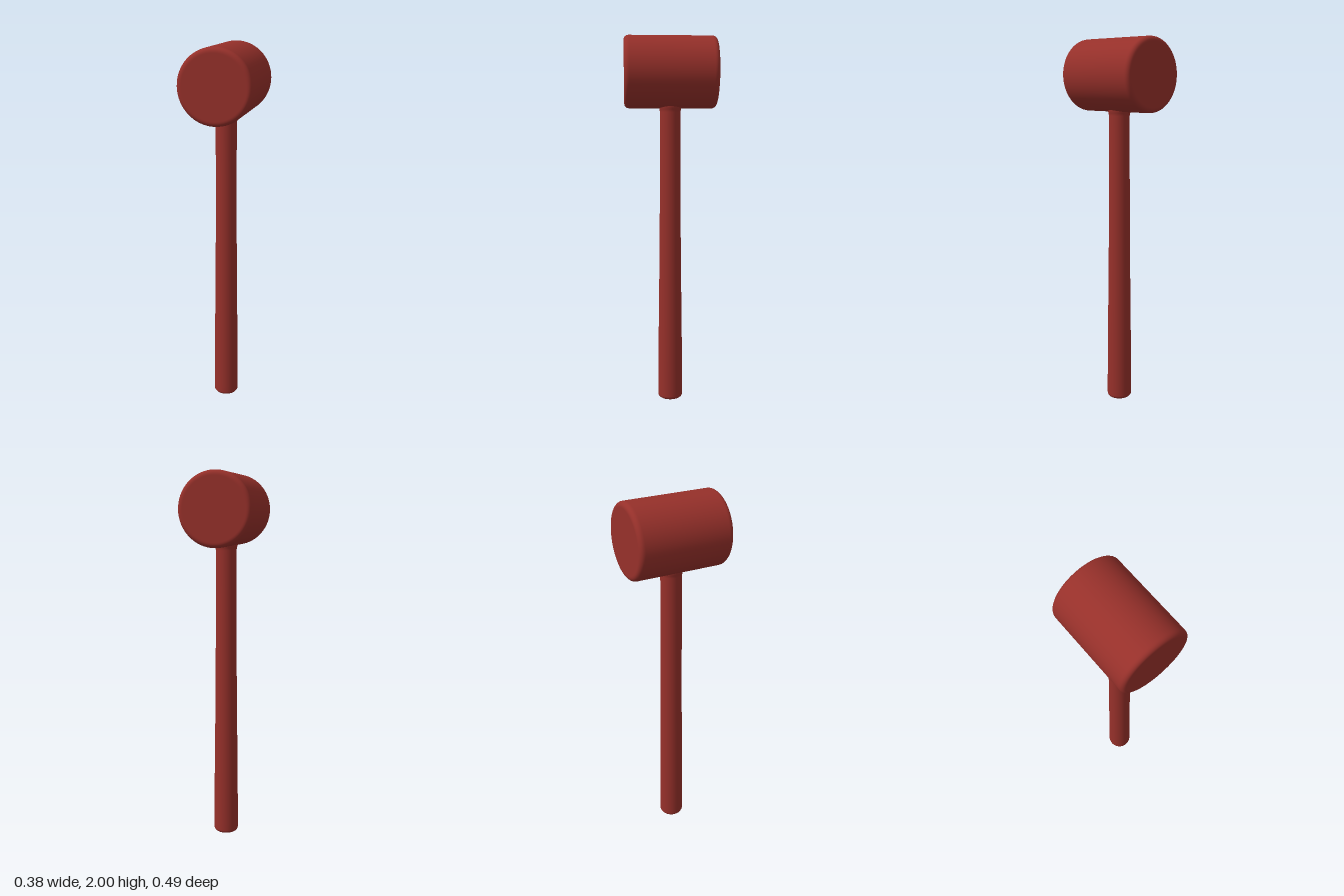
import * as THREE from 'three';

const BEVEL_STEPS = 6;

// Quarter-circle bevel points from angle a0 to a1 around (cx, cy)
function arc(cx, cy, r, a0, a1) {
  return Array.from({ length: BEVEL_STEPS + 1 }, (_, i) => {
    const a = a0 + ((a1 - a0) * i) / BEVEL_STEPS;
    return new THREE.Vector2(cx + r * Math.cos(a), cy + r * Math.sin(a));
  });
}

const p = (x, y) => new THREE.Vector2(x, y);

export function createModel() {
  const group = new THREE.Group();
  group.name = 'mallet';
  const redWood = new THREE.MeshStandardMaterial({ color: 0x96302a });
  redWood.name = 'redWood';

  // Head: cylinder along z with rounded rims; extra points keep the faces flat
  const R = 0.19, H = 0.246, b = 0.024;
  const headProfile = [
    p(0, -H), p(R - b - 0.004, -H),
    ...arc(R - b, -H + b, b, -Math.PI / 2, 0),
    p(R, -H + b + 0.004), p(R, H - b - 0.004),
    ...arc(R - b, H - b, b, 0, Math.PI / 2),
    p(R - b - 0.004, H), p(0, H),
  ];
  const head = new THREE.Mesh(new THREE.LatheGeometry(headProfile, 64), redWood);
  head.name = 'head';
  head.rotation.x = Math.PI / 2;
  head.position.y = 2 - R;
  group.add(head);

  // Handle: straight shaft swelling gently towards a rounded butt
  const c = 0.02;
  const handleProfile = [
    p(0, 0), p(0.044, 0),
    ...arc(0.068 - c, c, c, -Math.PI / 2, 0),
    p(0.0675, 0.06), p(0.066, 0.3), p(0.062, 0.6), p(0.058, 0.95),
    p(0.056, 1.3), p(0.055, 1.6), p(0.058, 1.615), p(0.062, 1.63), p(0.062, 1.7),
  ];
  const handle = new THREE.Mesh(new THREE.LatheGeometry(handleProfile, 40), redWood);
  handle.name = 'handle';
  group.add(handle);

  return group;
}
